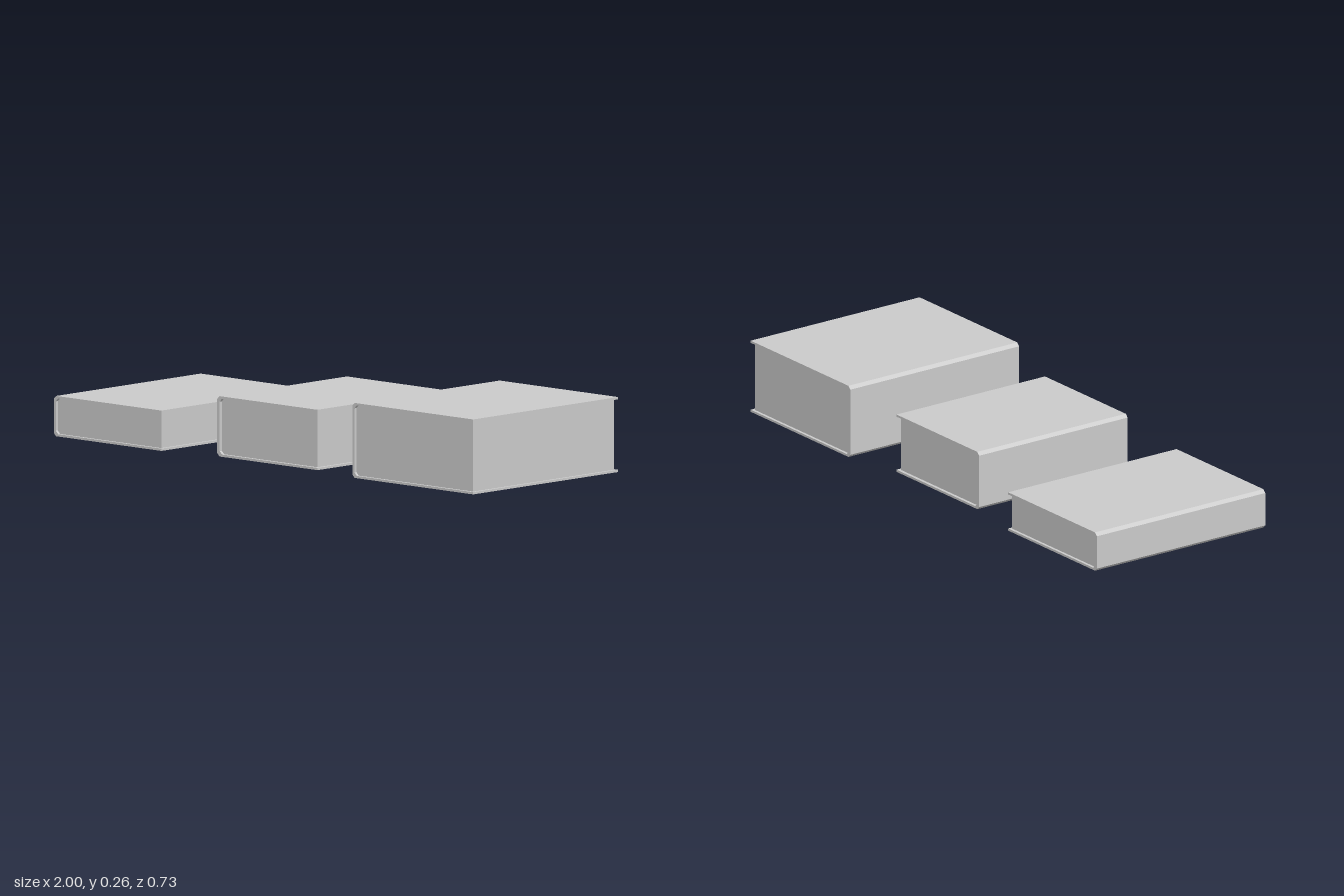
import * as THREE from 'three';

const material = new THREE.MeshStandardMaterial({ color: 0xcccccc, flatShading: true });

// Extrude an x-y outline along z, centred on z = 0
function extrude(name, points, depth) {
  const shape = new THREE.Shape(points.map(([x, y]) => new THREE.Vector2(x, y)));
  const geometry = new THREE.ExtrudeGeometry(shape, { depth, bevelEnabled: false });
  geometry.translate(0, 0, -depth / 2);
  const mesh = new THREE.Mesh(geometry, material);
  mesh.name = name;
  return mesh;
}

// A closed book lying flat, spine towards -x
function makeBook(name, { x0, x1, height, depth, board = 0.008, spine = 0.01, inset = 0.01 }) {
  const book = new THREE.Group();
  book.name = name;
  const c = 0.011; // chamfer where boards meet the spine
  const xi = x0 + spine, top = height - board;

  // inner side of the spine, from the top board down to the bottom board
  const inner = [[xi + c, top], [xi, top - c], [xi, board + c], [xi + c, board]];

  // wrap-around cover: bottom board, spine, top board
  book.add(extrude('cover', [
    [x0 + c, 0], [x1, 0], [x1, board],
    ...[...inner].reverse(),
    [x1, top], [x1, height], [x0 + c, height], [x0, height - c], [x0, c],
  ], depth));

  // page block, set back from the three open edges
  book.add(extrude('pages', [
    ...inner, [x1 - inset, board], [x1 - inset, top],
  ], depth - 2 * inset));
  return book;
}

export function createModel() {
  const model = new THREE.Group();
  model.name = 'books';
  model.add(
    makeBook('thinBook', { x0: -1, x1: -0.487, height: 0.141, depth: 0.726 }),
    makeBook('smallBook', { x0: -0.262, x1: 0.216, height: 0.211, depth: 0.64, spine: 0.012, inset: 0.011 }),
    makeBook('thickBook', { x0: 0.424, x1: 1, height: 0.262, depth: 0.728 }),
  );
  return model;
}
